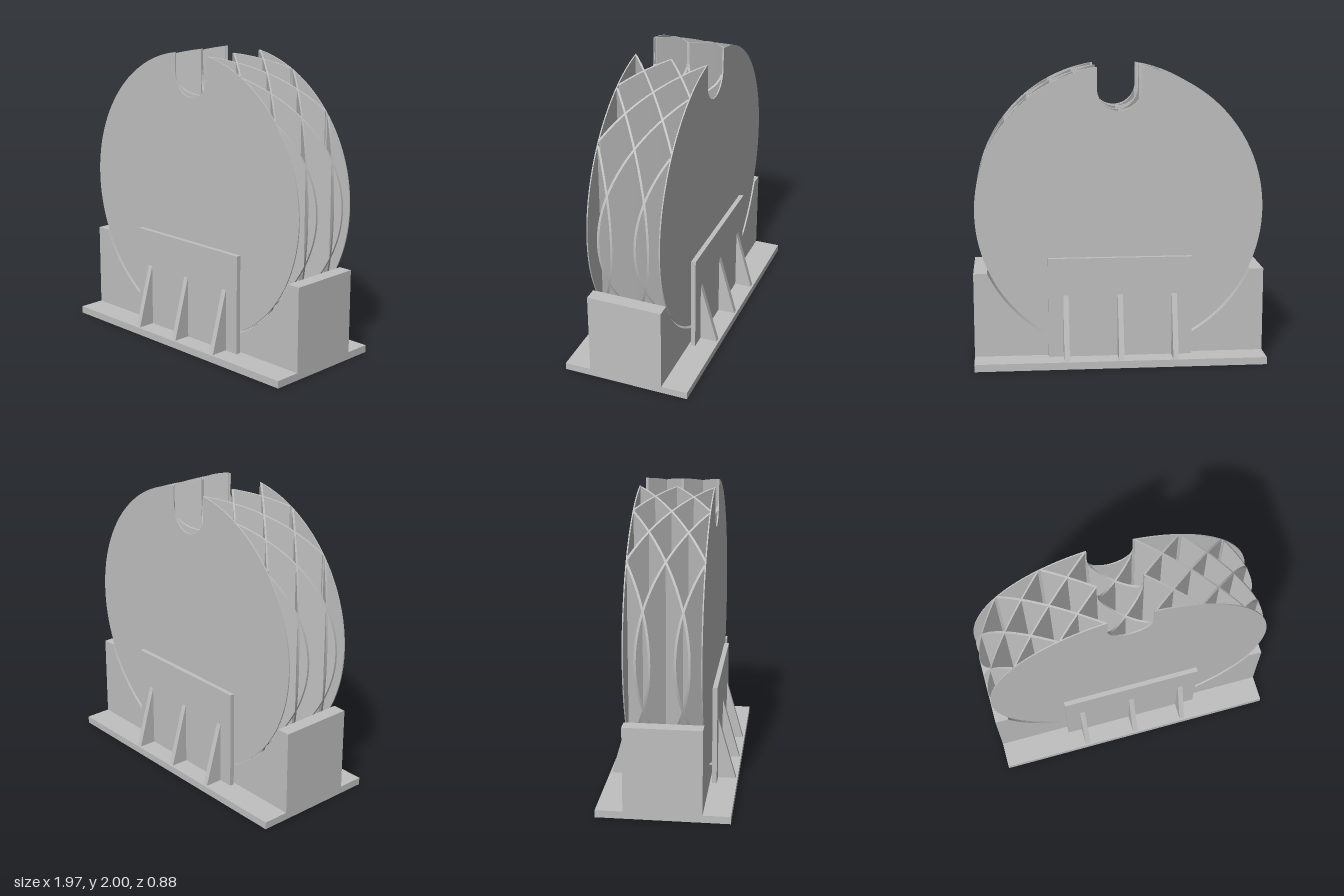
import * as THREE from 'three';
import { toCreasedNormals } from 'three/addons/utils/BufferGeometryUtils.js';

const R = 0.97, CY = 1.042;            // wheel radius and centre height
const NOTCH = 0.15, NOTCH_Y = 1.86;    // slot half-width and centre of its round bottom
const HALF = 0.25;                     // half thickness of the wheel
const PITCH = 0.305;                   // lattice spacing along x
const RIB = 0.0155, SKIN = 0.008;

export function createModel() {
  const group = new THREE.Group();
  const grey = new THREE.MeshStandardMaterial({ color: 0xc0c0c0 });
  grey.name = 'grey';

  const add = (name, geometry, parent = group) => {
    const mesh = new THREE.Mesh(geometry, grey);
    mesh.name = name;
    parent.add(mesh);
    return mesh;
  };
  const extrude = (shape, depth) => {
    const g = new THREE.ExtrudeGeometry(shape, { depth, bevelEnabled: false, curveSegments: 96 });
    return g.translate(0, 0, -depth / 2);
  };
  const box = (name, w, h, d, x, y, z) =>
    add(name, new THREE.BoxGeometry(w, h, d)).position.set(x, y, z);

  // Base plate
  box('basePlate', 1.97, 0.05, 0.876, 0, 0.025, 0);

  // Cradle block with a round hollow
  const hollow = 0.985, top = 0.625;
  const edge = Math.acos((CY - top) / hollow);
  const cradle = new THREE.Shape();
  cradle.moveTo(-0.985, 0.05);
  cradle.lineTo(0.985, 0.05);
  cradle.lineTo(0.985, top);
  cradle.absarc(0, CY, hollow, -Math.PI / 2 + edge, -Math.PI / 2 - edge, true);
  cradle.lineTo(-0.985, top);
  add('cradle', toCreasedNormals(extrude(cradle, 0.514), 0.4));

  // Side plates and their triangular gussets
  const gusset = new THREE.Shape([
    new THREE.Vector2(0, 0.05), new THREE.Vector2(0.122, 0.05), new THREE.Vector2(0, 0.48)]);
  for (const side of [1, -1]) {
    box('sidePlate', 0.972, 0.68, 0.032, 0, 0.39, side * 0.288);
    for (const x of [-0.367, 0, 0.367]) {
      const m = add('gusset', extrude(gusset, 0.036));
      m.rotation.y = -side * Math.PI / 2;
      m.position.set(x, 0, side * 0.303);
    }
  }

  // Wheel: two notched discs
  const wheel = new THREE.Group();
  wheel.name = 'wheel';
  group.add(wheel);
  const a = Math.acos(NOTCH / R);
  const disc = new THREE.Shape();
  disc.absarc(0, CY, R, a, -Math.PI - a, true);
  disc.lineTo(-NOTCH, NOTCH_Y);
  disc.absarc(0, NOTCH_Y, NOTCH, Math.PI, Math.PI * 2, false);
  for (const side of [1, -1]) {
    const m = add('disc', toCreasedNormals(extrude(disc, SKIN), 0.4), wheel);
    m.position.z = side * (HALF - SKIN / 2);
  }

  // Upper and lower outline of the wheel at a given x
  const half = x => Math.sqrt(Math.max(0, R * R - x * x));
  const upper = x => Math.abs(x) < NOTCH
    ? NOTCH_Y - Math.sqrt(NOTCH * NOTCH - x * x) : CY + half(x);

  // Diagonal upright walls crossing between the discs
  const slope = 2 * HALF / (2 * PITCH);
  const trim = RIB / 2 / slope;
  for (let k = -5; k <= 2; k++) {
    const x0 = PITCH * (k + 0.5);
    const from = Math.max(x0 + trim, -R), to = Math.min(x0 + 2 * PITCH - trim, R);
    const t0 = Math.asin(from / R), t1 = Math.asin(to / R);
    const xs = [];
    for (let i = 0; i <= 40; i++) xs.push(R * Math.sin(t0 + (t1 - t0) * i / 40));
    for (const s of [-1, 1]) for (const e of [-1e-4, 1e-4]) {
      const x = s * NOTCH + e;
      if (x > from && x < to) xs.push(x);
    }
    xs.sort((p, q) => p - q);
    const outline = [
      ...xs.map(x => new THREE.Vector2(x, CY - half(x))),
      ...xs.slice().reverse().map(x => new THREE.Vector2(x, upper(x)))];
    for (const dir of [1, -1]) {
      const g = extrude(new THREE.Shape(outline), RIB);
      const p = g.attributes.position;
      for (let i = 0; i < p.count; i++)
        p.setZ(i, p.getZ(i) + dir * (slope * (p.getX(i) - x0) - HALF));
      g.computeVertexNormals();
      add('latticeWall', g, wheel);
    }
  }
  return group;
}
